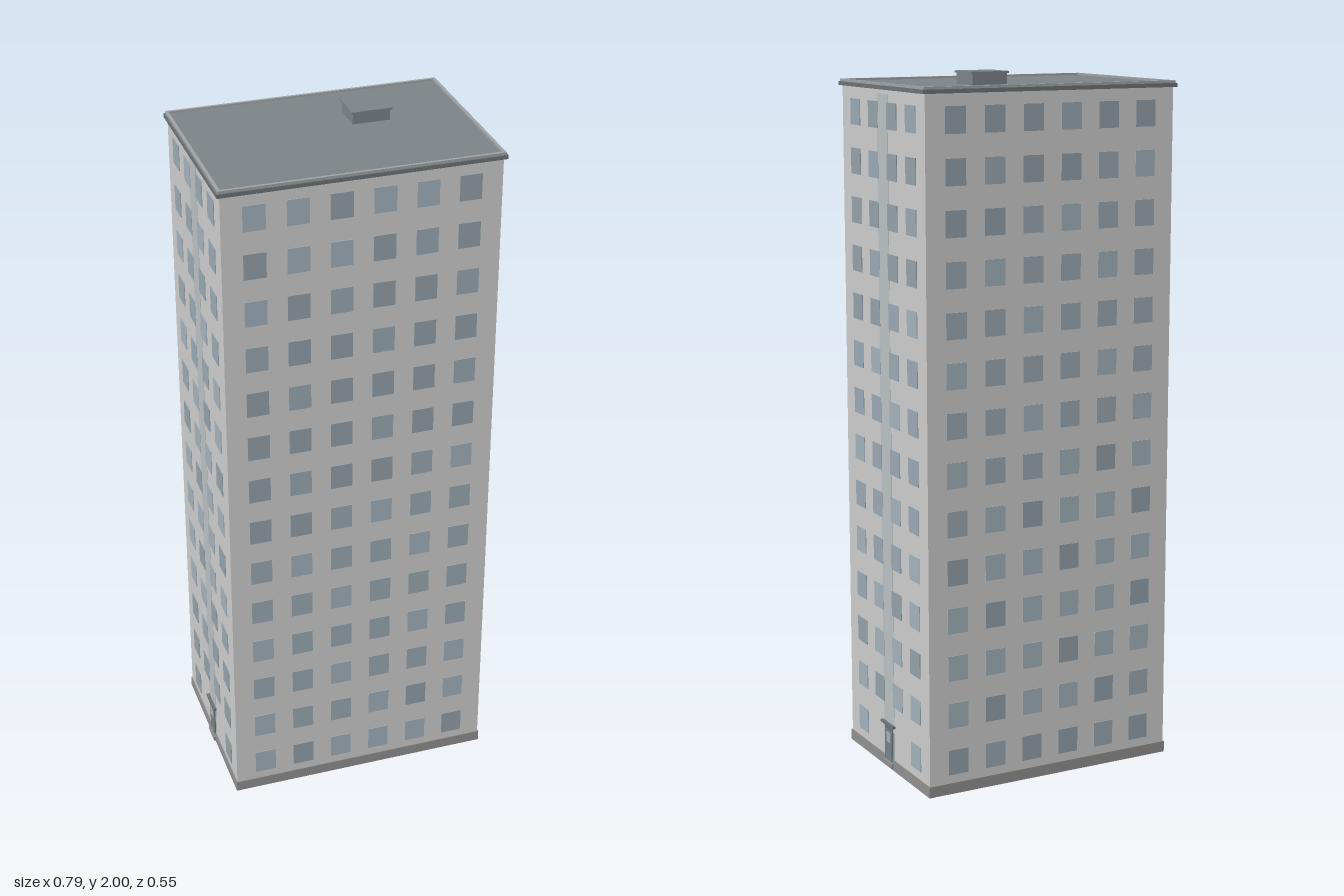
import * as THREE from 'three';
import { mergeGeometries } from 'three/addons/utils/BufferGeometryUtils.js';

const mat = (color) => new THREE.MeshStandardMaterial({ color });
const wallMat = mat(0xcccccc);
const plinthMat = mat(0x8f8f8f);
const roofMat = mat(0x7b8388);
const trimMat = mat(0x6c7276);
const rimMat = mat(0xa0a3a5);
const stairMat = mat(0xb9bfc1);
const doorMat = mat(0x75828a);
const glassMats = [mat(0xa3b1bb), mat(0x9aa8b2), mat(0x93a0a8)];

const HX = 0.384, HZ = 0.264; // half width and half depth of the tower
const FLOORS = 14, FLOOR_H = 0.1376, FIRST_Y = 0.093;

function box(name, w, h, d, x, y, z, material, parent) {
  const mesh = new THREE.Mesh(new THREE.BoxGeometry(w, h, d), material);
  mesh.name = name;
  mesh.position.set(x, y, z);
  parent.add(mesh);
  return mesh;
}

// Rectangular ring, hollow in the middle, standing from y0 to y1
function frame(name, hx, hz, thickness, y0, y1, material, parent) {
  const rect = (PathType, a, b) => new PathType([
    new THREE.Vector2(-a, -b), new THREE.Vector2(a, -b),
    new THREE.Vector2(a, b), new THREE.Vector2(-a, b),
  ]);
  const shape = rect(THREE.Shape, hx, hz);
  shape.holes.push(rect(THREE.Path, hx - thickness, hz - thickness));
  const geo = new THREE.ExtrudeGeometry(shape, { depth: y1 - y0, bevelEnabled: false });
  geo.rotateX(-Math.PI / 2);
  const mesh = new THREE.Mesh(geo, material);
  mesh.name = name;
  mesh.position.y = y0;
  parent.add(mesh);
}

export function createModel() {
  const model = new THREE.Group();
  model.name = 'apartmentTower';

  // Tower body on a hollow plinth
  box('walls', HX * 2, 1.935, HZ * 2, 0, 0.02 + 1.935 / 2, 0, wallMat, model);
  box('underside', HX * 2 - 0.01, 0.002, HZ * 2 - 0.01, 0, 0.0195, 0, trimMat, model);
  frame('plinth', HX + 0.003, HZ + 0.003, 0.012, 0, 0.032, plinthMat, model);

  // Roof with cornice, raised rim and hatch
  frame('cornice', 0.393, 0.273, 0.02, 1.952, 1.963, trimMat, model);
  frame('roofRim', 0.389, 0.269, 0.008, 1.963, 1.97, rimMat, model);
  box('roofDeck', 0.764, 0.01, 0.524, 0, 1.959, 0, roofMat, model);
  const hatch = new THREE.Group();
  hatch.name = 'roofHatch';
  hatch.position.set(0.123, 0, -0.086);
  box('hatchWalls', 0.106, 0.032, 0.094, 0, 1.978, 0, roofMat, hatch);
  box('hatchCap', 0.115, 0.006, 0.103, 0, 1.997, 0, roofMat, hatch);
  model.add(hatch);

  // Windows on four sides, gathered by glass tint
  const panes = [[], [], []];
  let count = 0;
  function addWindow(angle, dist, along, floor) {
    const geo = new THREE.BoxGeometry(0.062, 0.073, 0.004);
    geo.translate(along, FIRST_Y + floor * FLOOR_H, dist);
    geo.rotateY(angle);
    const tint = (count * 7 + floor * 5 + (count * count) % 11) % 3;
    panes[tint].push(geo);
    count++;
  }
  for (let floor = 0; floor < FLOORS; floor++) {
    for (const turn of [0, Math.PI]) {
      for (let i = 0; i < 6; i++) addWindow(turn, HZ, (i - 2.5) * 0.118, floor);
      for (let i = 0; i < 4; i++) {
        const besideDoor = floor === 0 && (i === 1 || i === 2);
        if (!besideDoor) addWindow(turn + Math.PI / 2, HX, (i - 1.5) * 0.118, floor);
      }
    }
  }
  panes.forEach((list, i) => {
    const mesh = new THREE.Mesh(mergeGeometries(list), glassMats[i]);
    mesh.name = 'windows' + (i + 1);
    model.add(mesh);
  });

  // Stairwell strip and entrance on each narrow side
  for (const side of [1, -1]) {
    const entrance = new THREE.Group();
    entrance.name = side > 0 ? 'leftEntrance' : 'rightEntrance';
    entrance.rotation.y = side * Math.PI / 2;
    box('stairwellStrip', 0.068, 1.91, 0.002, 0, 0.985, HX, stairMat, entrance);
    box('doorFrame', 0.052, 0.1, 0.005, 0, 0.074, HX + 0.001, trimMat, entrance);
    box('door', 0.04, 0.092, 0.006, 0, 0.07, HX + 0.0015, doorMat, entrance);
    box('doorGlass', 0.026, 0.03, 0.007, 0, 0.094, HX + 0.0018, glassMats[0], entrance);
    box('canopy', 0.08, 0.007, 0.012, 0, 0.134, HX + 0.004, trimMat, entrance);
    box('step', 0.06, 0.014, 0.012, 0, 0.013, HX + 0.003, plinthMat, entrance);
    model.add(entrance);
  }
  return model;
}
